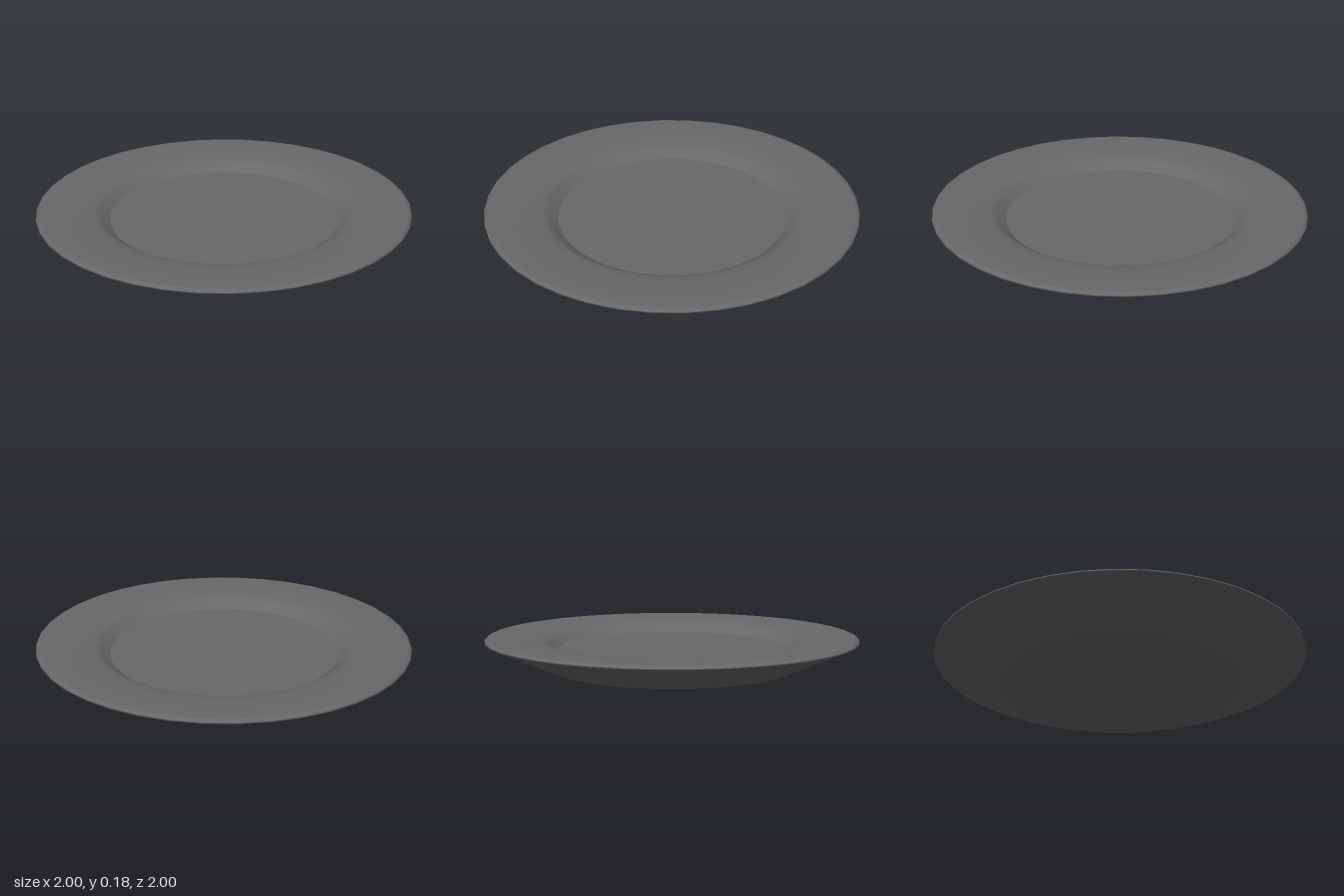
import * as THREE from 'three';

const SEGMENTS = 40;

// [radius, height] from the underside centre, round the edge, to the top centre.
// Close pairs of points keep the foot and the floor crisp at their borders.
const PROFILE = [
  // gently hollowed underside and foot
  [0, 0.025], [0.2, 0.023], [0.4, 0.015], [0.55, 0.005], [0.635, 0], [0.645, 0.001],
  // sloping outer wall
  [0.82, 0.076], [1, 0.154],
  // rounded edge
  [0.998, 0.163], [0.985, 0.171], [0.97, 0.173],
  // rim, flattening outwards
  [0.86, 0.17], [0.76, 0.165], [0.69, 0.157],
  // step down to the floor
  [0.66, 0.143], [0.614, 0.109], [0.608, 0.107], [0, 0.107],
];

export function createModel() {
  const model = new THREE.Group();
  model.name = 'dinnerPlate';

  const points = PROFILE.map(([r, y]) => new THREE.Vector2(r, y));
  const plate = new THREE.Mesh(
    new THREE.LatheGeometry(points, SEGMENTS),
    new THREE.MeshStandardMaterial({ color: 0x686868 }),
  );
  plate.name = 'plate';

  // The plate rests very slightly tilted, its right side lowest
  plate.rotation.z = 0.004;
  plate.position.y = 0.003;
  model.add(plate);
  return model;
}
